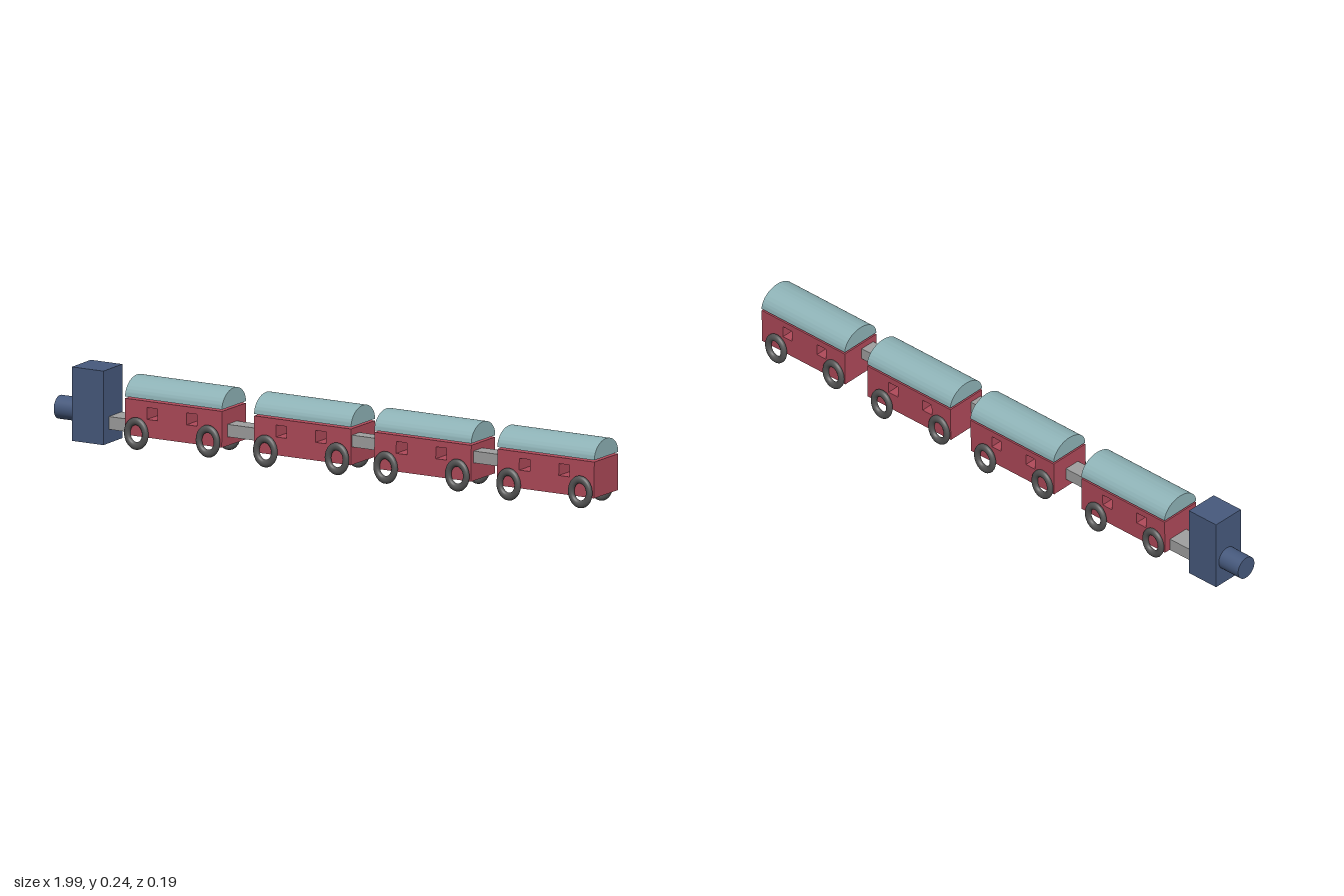
import * as THREE from 'three';
import { toCreasedNormals } from 'three/addons/utils/BufferGeometryUtils.js';

const mat = (color) => new THREE.MeshStandardMaterial({ color });
const blue = mat(0x475a7e), red = mat(0xb04a5a), teal = mat(0x8fb4b8);
const steel = mat(0xa0a0a0), rubber = mat(0x555555);

function add(parent, name, geometry, material, x = 0, y = 0, z = 0) {
  const mesh = new THREE.Mesh(geometry, material);
  mesh.name = name;
  mesh.position.set(x, y, z);
  parent.add(mesh);
  return mesh;
}

// Box given by its limits on each axis
function addBox(parent, name, material, [x0, x1], [y0, y1], [z0, z1]) {
  return add(parent, name, new THREE.BoxGeometry(x1 - x0, y1 - y0, z1 - z0), material,
    (x0 + x1) / 2, (y0 + y1) / 2, (z0 + z1) / 2);
}

function rectangle(target, x0, y0, x1, y1) {
  target.moveTo(x0, y0);
  target.lineTo(x1, y0);
  target.lineTo(x1, y1);
  target.lineTo(x0, y1);
  target.closePath();
  return target;
}

const LENGTH = 0.353, HALF_WIDTH = 0.0725;

// Wagon body with two windows cut straight through
function bodyGeometry() {
  const side = rectangle(new THREE.Shape(), 0, 0.046, LENGTH, 0.162);
  for (const x of [0.08, 0.224]) {
    side.holes.push(rectangle(new THREE.Path(), x, 0.104, x + 0.039, 0.142));
  }
  return new THREE.ExtrudeGeometry(side, { depth: 2 * HALF_WIDTH, bevelEnabled: false })
    .translate(0, 0, -HALF_WIDTH);
}

// Half-elliptical barrel roof running along x
function roofGeometry() {
  const arch = new THREE.Shape();
  arch.absellipse(0, 0, HALF_WIDTH, 0.057, 0, Math.PI, false, 0);
  arch.closePath();
  const geo = new THREE.ExtrudeGeometry(arch, { depth: LENGTH, bevelEnabled: false, curveSegments: 32 });
  return toCreasedNormals(geo.rotateY(Math.PI / 2).translate(0, 0.168, 0), 0.5);
}

// Slightly oval ring wheel
const wheelGeometry = () =>
  new THREE.TorusGeometry(0.0395, 0.0125, 16, 40).scale(0.83, 1, 0.78);

export function createModel() {
  const train = new THREE.Group();
  train.name = 'train';

  // Engine: upright cab with a round boiler
  const engine = new THREE.Group();
  engine.name = 'engine';
  addBox(engine, 'cab', blue, [-0.918, -0.803], [0, 0.237], [-0.056, 0.058]);
  add(engine, 'boiler', new THREE.CylinderGeometry(0.0375, 0.0375, 0.09, 32).rotateZ(Math.PI / 2),
    blue, -0.955, 0.087, -0.006);
  train.add(engine);

  // Four wagons with loosely placed wheels
  const body = bodyGeometry(), roof = roofGeometry(), wheel = wheelGeometry();
  const wheels = [
    [0.046, 0.057, 0.079], [0.31, 0.065, 0.084],
    [0.046, 0.064, -0.077], [0.284, 0.053, -0.083],
  ];
  [-0.717, -0.247, 0.191, 0.639].forEach((x, i) => {
    const wagon = new THREE.Group();
    wagon.name = `wagon${i + 1}`;
    wagon.position.x = x;
    // Body and roof lean very slightly
    add(wagon, 'body', body, red).rotation.x = -0.013;
    add(wagon, 'roof', roof, teal).rotation.x = -0.013;
    for (const [wx, wy, wz] of wheels) add(wagon, 'wheel', wheel, rubber, wx, wy, wz);
    train.add(wagon);
  });

  // Coupling bars; the first reaches under the wagon floor
  addBox(train, 'coupling', steel, [-0.81, -0.62], [0.044, 0.085], [-0.05, 0.025]);
  addBox(train, 'coupling', steel, [-0.38, -0.23], [0.075, 0.115], [-0.019, 0.037]);
  addBox(train, 'coupling', steel, [0.09, 0.205], [0.104, 0.142], [0.019, 0.064]);
  addBox(train, 'coupling', steel, [0.53, 0.655], [0.104, 0.142], [0.003, 0.056]);

  return train;
}
